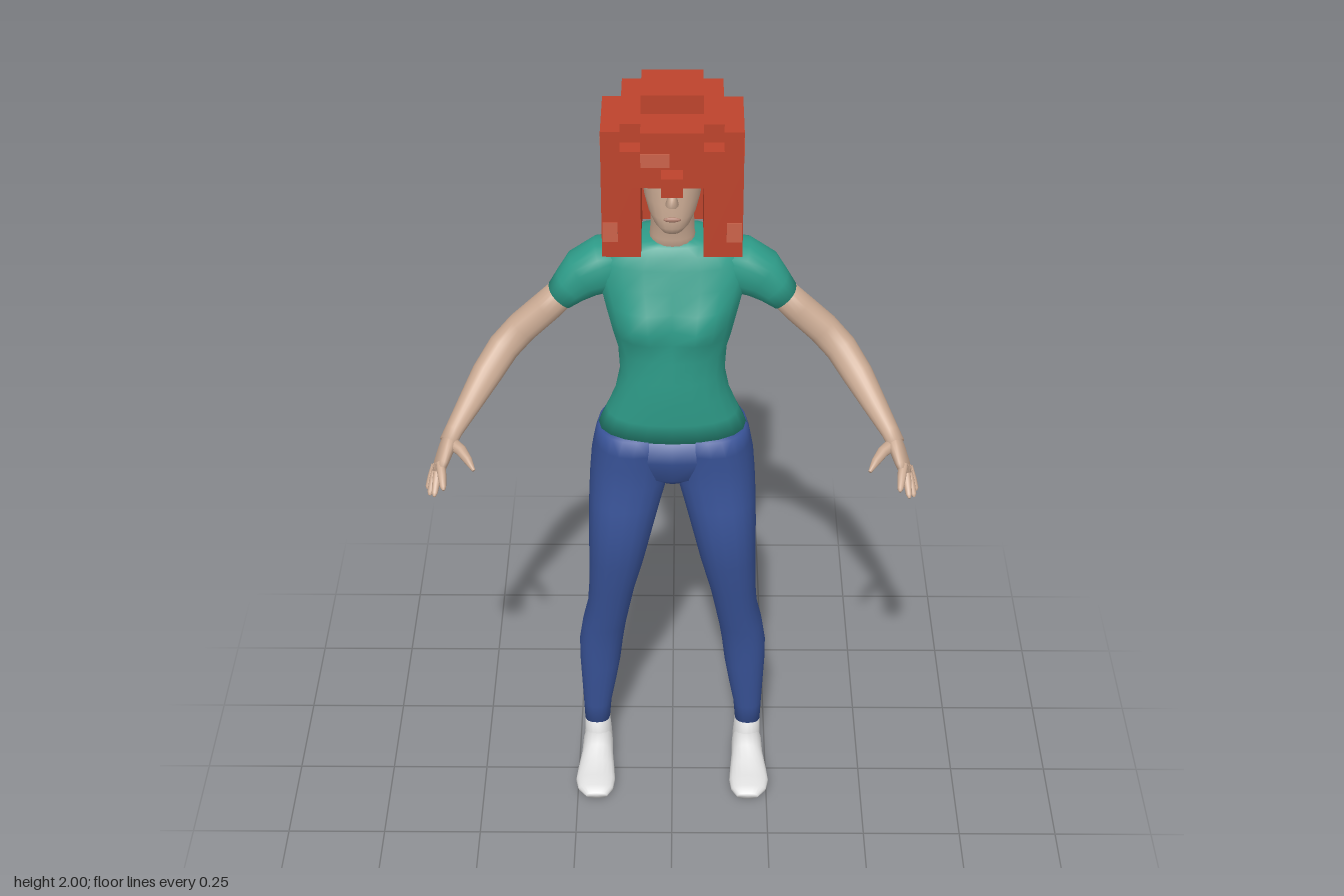
import * as THREE from 'three';

const mat = (name, color) => Object.assign(new THREE.MeshStandardMaterial({ color }), { name });
const V = (x, y, z) => new THREE.Vector3(x, y, z);
const N = 20;

// Unit rounded-square outline (superellipse)
const outline = Array.from({ length: N }, (_, i) => {
  const a = (i / N) * Math.PI * 2, f = (v) => Math.sign(v) * Math.abs(v) ** (2 / 2.3);
  return [f(Math.cos(a)), f(Math.sin(a))];
});

// Smooth closed skin through equal-sized cross-sections; turned outward by its signed volume
function loft(sections) {
  const pos = sections.flat().flatMap((p) => [p.x, p.y, p.z]);
  const idx = [];
  const last = sections.length - 1;
  for (let j = 0; j < last; j++) for (let i = 0; i < N; i++) {
    const a = j * N + i, b = j * N + (i + 1) % N;
    idx.push(a, b, a + N, b, b + N, a + N);
  }
  for (const [j, turn] of [[0, true], [last, false]]) {
    const c = sections[j].reduce((s, p) => s.add(p), V(0, 0, 0)).divideScalar(N);
    const k = pos.length / 3;
    pos.push(c.x, c.y, c.z);
    for (let i = 0; i < N; i++) {
      const a = j * N + i, b = j * N + (i + 1) % N;
      idx.push(...(turn ? [k, b, a] : [k, a, b]));
    }
  }
  const at = (i) => V(pos[3 * i], pos[3 * i + 1], pos[3 * i + 2]);
  let volume = 0;
  for (let i = 0; i < idx.length; i += 3) volume += at(idx[i]).dot(at(idx[i + 1]).cross(at(idx[i + 2])));
  if (volume < 0) idx.reverse();
  const g = new THREE.BufferGeometry();
  g.setAttribute('position', new THREE.Float32BufferAttribute(pos, 3));
  g.setIndex(idx);
  g.computeVertexNormals();
  return g;
}

// Horizontal sections from rows [y, x0, x1, z0, z1]; s mirrors x; bump moves points
const upright = (rows, s = 1, bump = () => 0) => loft(rows.map(([y, x0, x1, z0, z1]) =>
  outline.map(([u, v]) => {
    const p = V(s * ((x0 + x1) / 2 + u * (x1 - x0) / 2), y, (z0 + z1) / 2 + v * (z1 - z0) / 2);
    p.z += bump(p, v);
    return p;
  })));

// Limb from rows [x, y, z, radius across, radius along z]
function limb(rows, s = 1) {
  const c = rows.map(([x, y, z]) => V(x, y, z));
  return loft(rows.map(([, , , ra, rz], i) => {
    const t = c[Math.min(i + 1, c.length - 1)].clone().sub(c[Math.max(i - 1, 0)]).normalize();
    const w = V(0, 0, 1).addScaledVector(t, -t.z).normalize();
    const d = t.clone().cross(w);
    return outline.map(([u, v]) => {
      const p = c[i].clone().addScaledVector(d, u * ra).addScaledVector(w, v * rz);
      p.x *= s;
      return p;
    });
  }));
}

export function createModel() {
  const model = new THREE.Group();
  model.name = 'standingWoman';
  const skin = mat('skin', 0xcbab94), shirt = mat('teal shirt', 0x2e9c89), pants = mat('blue trousers', 0x385296);
  const sock = mat('pale socks', 0xd9d9d9), hair = mat('red hair', 0xbd432c), light = mat('light hair patch', 0xcb624a);
  const white = mat('eye white', 0xd8d3cc), dark = mat('dark eye', 0x4a3a32), lip = mat('lips', 0xae7f6e);

  const add = (name, geometry, material, parent = model) => {
    const m = new THREE.Mesh(geometry, material);
    m.name = name;
    parent.add(m);
    return m;
  };
  const box = (name, [x0, x1, y0, y1, z0, z1], material = hair) => {
    const g = new THREE.BoxGeometry(x1 - x0, y1 - y0, z1 - z0);
    add(name, g.translate((x0 + x1) / 2, (y0 + y1) / 2, (z0 + z1) / 2), material);
  };
  const sym = (y, x, z0, z1) => [y, -x, x, z0, z1];

  // Torso with chest and a shallow spine groove
  add('shirtBody', upright([
    sym(1.085, 0.182, -0.165, 0.04), sym(1.14, 0.16, -0.142, 0.045), sym(1.2, 0.138, -0.122, 0.05),
    sym(1.26, 0.126, -0.125, 0.052), sym(1.32, 0.13, -0.138, 0.05), sym(1.37, 0.145, -0.147, 0.047),
    sym(1.41, 0.155, -0.154, 0.045), sym(1.45, 0.165, -0.16, 0.038), sym(1.5, 0.18, -0.166, 0.028),
    sym(1.55, 0.185, -0.168, 0.012), sym(1.58, 0.16, -0.166, 0), sym(1.6, 0.1, -0.155, -0.01),
    sym(1.612, 0.055, -0.13, -0.02)], 1, (p, v) => {
    const b = Math.exp(-(((Math.abs(p.x) - 0.075) / 0.05) ** 2) - ((p.y - 1.415) / 0.045) ** 2);
    const groove = Math.exp(-((p.x / 0.03) ** 2)) * 0.008;
    return v > 0 ? 0.036 * b : groove;
  }), shirt);

  // Pelvis between the legs
  add('pelvis', upright([
    sym(0.925, 0.035, -0.1, -0.02), sym(0.96, 0.1, -0.14, 0.02), sym(1.02, 0.17, -0.165, 0.035),
    sym(1.088, 0.18, -0.165, 0.04)]), pants);

  // Neck and head
  add('neck', upright([sym(1.57, 0.062, -0.135, -0.015), sym(1.62, 0.052, -0.12, -0.012),
    sym(1.67, 0.05, -0.11, 0), sym(1.73, 0.05, -0.11, 0.02)]), skin);
  add('head', upright([
    sym(1.673, 0.022, 0.005, 0.05), sym(1.69, 0.042, -0.05, 0.06), sym(1.715, 0.056, -0.1, 0.062),
    sym(1.75, 0.067, -0.14, 0.06), sym(1.8, 0.074, -0.165, 0.058), sym(1.85, 0.074, -0.165, 0.055),
    sym(1.9, 0.05, -0.13, 0.02)]), skin);
  add('nose', upright([sym(1.748, 0.012, 0.04, 0.07), sym(1.757, 0.015, 0.04, 0.086),
    sym(1.775, 0.01, 0.04, 0.077), sym(1.81, 0.007, 0.04, 0.061)]), skin);
  const spot = (name, m, x, y, z, w, h) => {
    const g = new THREE.SphereGeometry(1, 14, 8).scale(w, h, 0.004);
    add(name, g.rotateY(x * 11).translate(x, y, z), m);
  };
  spot('mouth', lip, 0, 0, 0, 0.02, 0.006);
  model.getObjectByName('mouth').position.set(0, 1.716, 0.062);

  const fingers = [['indexFinger', 0.535, 1.1, 0.254], ['middleFinger', 0.56, 1.07, 0.238],
    ['ringFinger', 0.575, 1.05, 0.205], ['littleFinger', 0.583, 1.045, 0.172]];

  for (const [side, s] of [['left', 1], ['right', -1]]) {
    // Eyes and brows
    spot(side + 'Eye', white, s * 0.034, 1.803, 0.052, 0.014, 0.006);
    spot(side + 'Pupil', dark, s * 0.034, 1.803, 0.0545, 0.005, 0.0055);
    spot(side + 'Brow', dark, s * 0.036, 1.819, 0.05, 0.017, 0.003);

    // Sleeve and arm
    add(side + 'Sleeve', limb([[0.11, 1.525, -0.083, 0.065, 0.075], [0.165, 1.518, -0.083, 0.066, 0.07],
      [0.21, 1.495, -0.08, 0.06, 0.06], [0.24, 1.465, -0.078, 0.047, 0.05],
      [0.267, 1.437, -0.077, 0.037, 0.044]], s), shirt);
    add(side + 'Arm', limb([[0.25, 1.455, -0.077, 0.034, 0.039], [0.3, 1.405, -0.075, 0.037, 0.04],
      [0.36, 1.35, -0.07, 0.038, 0.038], [0.405, 1.303, -0.055, 0.038, 0.036], [0.445, 1.258, -0.005, 0.036, 0.034],
      [0.485, 1.212, 0.06, 0.028, 0.028], [0.518, 1.175, 0.115, 0.021, 0.024],
      [0.53, 1.158, 0.135, 0.02, 0.03]], s), skin);

    // Hand
    add(side + 'Palm', limb([[0.52, 1.172, 0.118, 0.019, 0.024], [0.533, 1.148, 0.142, 0.018, 0.036],
      [0.546, 1.12, 0.165, 0.016, 0.046], [0.555, 1.1, 0.182, 0.012, 0.044]], s), skin);
    fingers.forEach(([name, x, y, z], i) => {
      const b = V(0.545 + i * 0.006, 1.133 - i * 0.013, 0.19 - i * 0.016), e = V(x, y, z);
      const rows = [[0, 0.011], [0.5, 0.01], [0.9, 0.007], [1, 0.003]].map(([k, r]) =>
        [...b.clone().lerp(e, k).toArray(), r, r]);
      add(side + name, limb(rows, s), skin);
    });
    add(side + 'Thumb', limb([[0.525, 1.16, 0.14, 0.015, 0.016], [0.497, 1.153, 0.168, 0.013, 0.013],
      [0.48, 1.145, 0.195, 0.01, 0.01], [0.465, 1.133, 0.22, 0.004, 0.004]], s), skin);

    // Leg with rounded seat, knee and calf
    add(side + 'Leg', upright([
      [0.12, 0.168, 0.235, -0.115, -0.043], [0.18, 0.163, 0.237, -0.116, -0.038], [0.25, 0.15, 0.24, -0.123, -0.03],
      [0.32, 0.138, 0.243, -0.131, -0.024], [0.39, 0.13, 0.243, -0.135, -0.018], [0.46, 0.12, 0.233, -0.13, -0.008],
      [0.53, 0.108, 0.218, -0.118, 0.008], [0.6, 0.095, 0.213, -0.106, 0.02], [0.7, 0.07, 0.211, -0.116, 0.043],
      [0.8, 0.047, 0.21, -0.13, 0.054], [0.88, 0.026, 0.208, -0.148, 0.045], [0.94, 0.008, 0.205, -0.18, 0.036],
      [1.0, 0.001, 0.2, -0.197, 0.036], [1.04, -0.002, 0.193, -0.194, 0.038],
      [1.088, -0.01, 0.181, -0.167, 0.04]], s), pants);

    // Ankle and foot
    add(side + 'Ankle', upright([[0.02, 0.162, 0.238, -0.115, -0.02], [0.07, 0.163, 0.236, -0.118, -0.03],
      [0.128, 0.169, 0.234, -0.114, -0.044]], s), sock);
    const foot = [[-0.117, 0.2, 0.018, 0.04], [-0.1, 0.2, 0.036, 0.07], [-0.05, 0.2, 0.04, 0.1], [-0.01, 0.201, 0.042, 0.075],
      [0.03, 0.203, 0.048, 0.053], [0.07, 0.204, 0.052, 0.038], [0.1, 0.203, 0.046, 0.03], [0.12, 0.2, 0.028, 0.018]];
    add(side + 'Foot', loft(foot.map(([z, x, r, h]) =>
      outline.map(([u, v]) => V(s * (x + u * r), h / 2 + v * h / 2, z)))), sock);

    // Side locks and their light patches
    const lr = (a, b, ...rest) => (s > 0 ? [a, b, ...rest] : [-b, -a, ...rest]);
    box(side + 'Lock', lr(0.072, 0.162, 1.59, 1.82, -0.218, 0.01));
    box(side + 'UpperLock', lr(0.072, 0.162, 1.82, 1.91, -0.17, 0.01));
    box(side + 'RearUpperLock', lr(0.072, 0.162, 1.82, 1.865, -0.218, -0.17));
    box(side + 'LowPatch', lr(0.161, 0.164, 1.68, 1.73, -0.215, -0.11), light);
    box(side + 'HighPatch', lr(0.161, 0.164, 1.83, 1.875, -0.12, -0.03), light);
    box(side + 'FrontPatch', lr(0.125, 0.16, 1.63, 1.68, 0.009, 0.012), light);
  }

  // Stepped crown, fringe and back of the hair
  box('hairTop', [-0.07, 0.07, 1.955, 2, -0.122, 0.01]);
  box('hairCrown', [-0.116, 0.116, 1.91, 1.955, -0.17, 0.06]);
  box('hairCrownFront', [-0.07, 0.07, 1.91, 1.955, 0.06, 0.105]);
  box('fringe', [-0.116, 0.116, 1.82, 1.91, -0.2, 0.105]);
  box('fringeTuft', [-0.024, 0.024, 1.82, 1.866, 0.105, 0.15]);
  box('hairBackUpper', [-0.116, 0.116, 1.82, 1.91, -0.218, -0.16]);
  box('hairBack', [-0.116, 0.116, 1.59, 1.82, -0.218, -0.17]);
  box('hairBackRidge', [-0.07, 0.07, 1.59, 1.82, -0.265, -0.21]);
  box('fringePatch', [-0.07, -0.005, 1.872, 1.905, 0.104, 0.107], light);
  box('backPatch', [-0.06, 0.03, 1.86, 1.89, -0.22, -0.217], light);
  return model;
}
